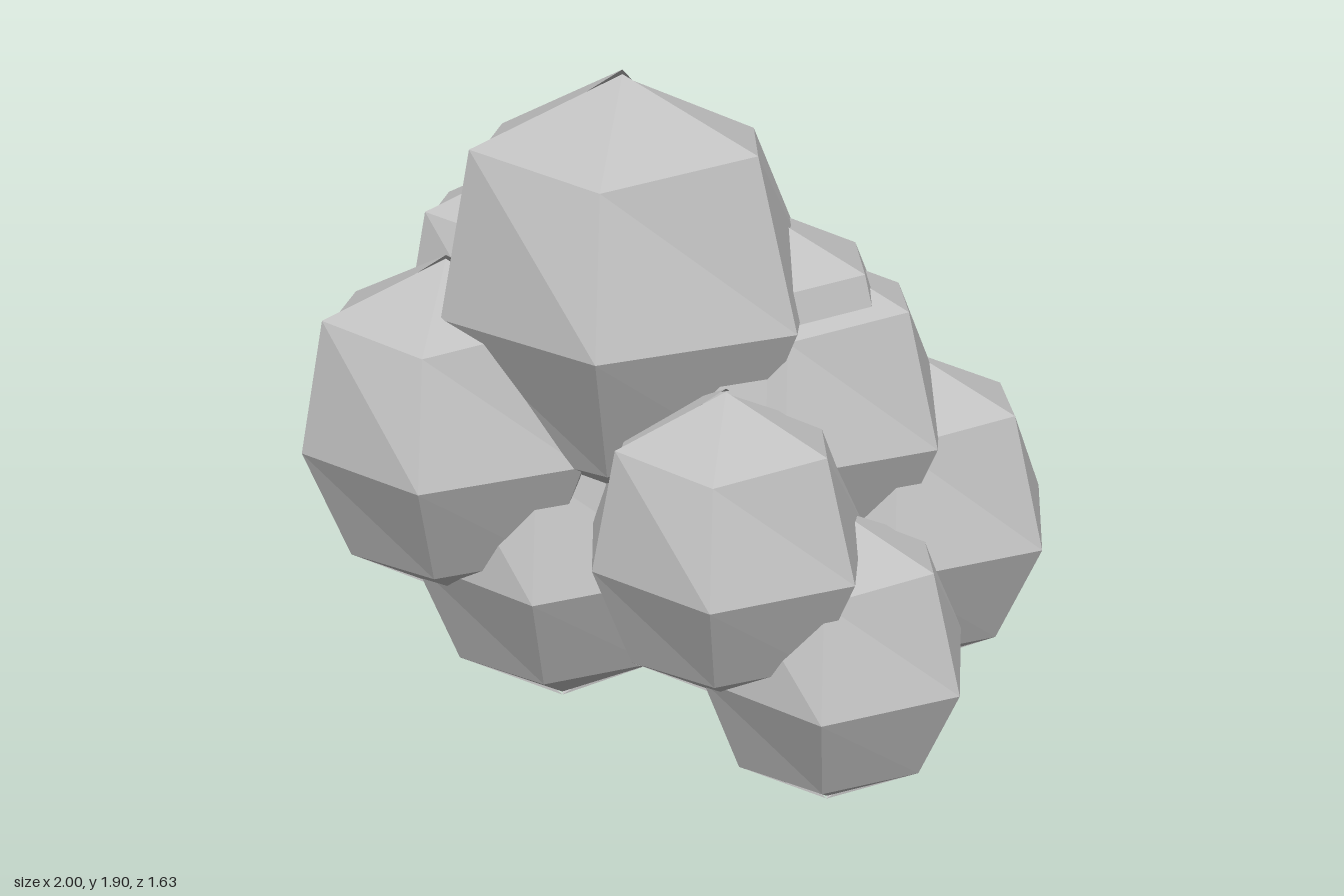
import * as THREE from 'three';

// Scale factors [x, y, z] that make each corner of the six-sided ball uneven.
// Corners run left, front left, front right, right, back right, back left as seen from the front,
// and the seventh closes the ring at the left again, leaving a narrow crack.
const RINGS = [
  // top tips of the facets
  [[1, 0.98, 1], [1, 0.98, 1], [1, 0.97, 1], [1, 0.94, 1], [1, 1, 1], [1, 1, 1], [1, 1, 1]],
  // upper ring
  [[1.08, 1.03, 1], [1, 0.9, 0.95], [1.1, 1.04, 1.08], [0.96, 0.96, 1], [1.15, 0.98, 0.98], [1.02, 0.92, 1.1], [1.06, 0.95, 1]],
  // equator
  [[0.93, 1, 1], [1, 1, 1], [1, 1, 1], [1, 1, 1], [0.8, 1, 0.94], [1.08, 1, 1.09], [0.93, 1, 1]],
  // lower ring
  [[0.94, 0.9, 1], [0.95, 0.87, 0.95], [1.05, 0.87, 0.97], [1.02, 1, 1], [1, 0.98, 1], [1, 0.98, 1], [0.94, 0.9, 1]],
  // bottom tips of the facets
  [[1, 1, 1], [1, 0.98, 1], [1, 0.98, 1], [1, 1, 1], [1, 1, 1], [1, 0.98, 1], [1, 1, 1]],
];

// One faceted lump: a slightly tall ball with three uneven rings between its poles.
function lumpGeometry() {
  const g = new THREE.SphereGeometry(1, 6, 4);
  const p = g.attributes.position;
  for (let i = 0; i < p.count; i++) {
    const [sx, sy, sz] = RINGS[Math.floor(i / 7)][i % 7];
    p.setXYZ(i, p.getX(i) * sx, p.getY(i) * sy * 1.1, p.getZ(i) * sz);
  }
  g.computeVertexNormals();
  return g;
}

export function createModel() {
  const group = new THREE.Group();
  group.name = 'lumpCluster';
  const grey = new THREE.MeshStandardMaterial({ color: 0xbfbfbf, flatShading: true, side: THREE.DoubleSide });
  grey.name = 'grey';
  const geometry = lumpGeometry();

  // name, x, y, z, radius
  const lumps = [
    ['topLump', -0.16, 1.32, -0.04, 0.54],
    ['outerRightLump', -0.59, 0.95, -0.2, 0.44],
    ['frontMiddleLump', -0.085, 0.78, 0.43, 0.39],
    ['frontBottomLump', 0.195, 0.44, 0.48, 0.39],
    ['outerLeftLump', 0.56, 0.66, 0.17, 0.44],
    ['upperLeftLump', 0.26, 0.98, 0.13, 0.435],
    ['innerLeftLump', 0.14, 1.01, 0.01, 0.51],
    ['backUpperLump', -0.27, 1.17, -0.455, 0.38],
    ['backLowerLump', 0, 0.82, -0.415, 0.39],
    ['bottomRightLump', -0.31, 0.61, -0.16, 0.445],
  ];
  for (const [name, x, y, z, r] of lumps) {
    const lump = new THREE.Mesh(geometry, grey);
    lump.name = name;
    lump.position.set(x, y, z);
    lump.scale.setScalar(r);
    group.add(lump);
  }
  return group;
}
